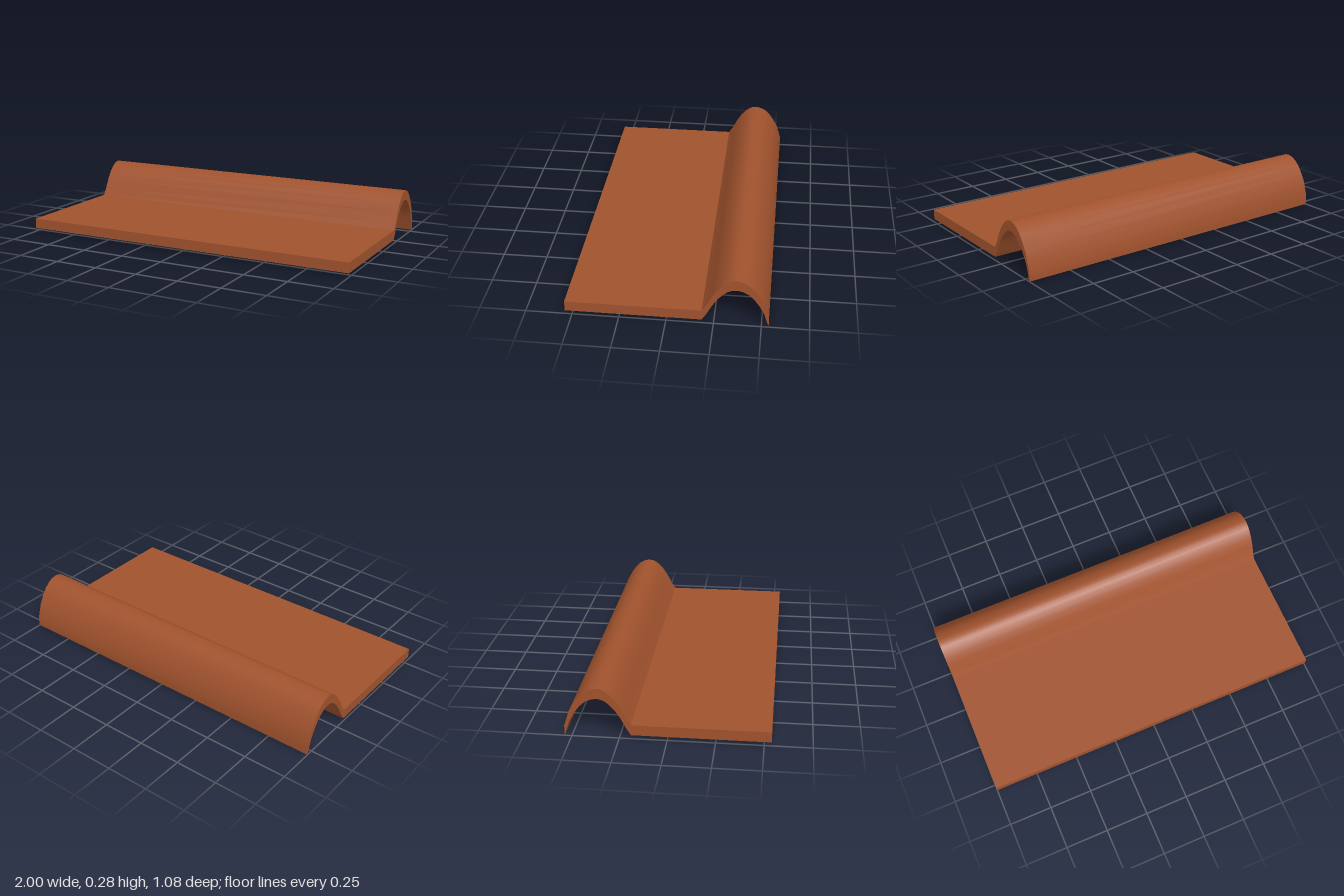
import * as THREE from 'three';
import { toCreasedNormals } from 'three/addons/utils/BufferGeometryUtils.js';

const LENGTH = 2;
const THICKNESS = 0.058;

// Upper edge of the cross-section, front to back: [z, y]
const UPPER_EDGE = [
  [0.538, 0.078], [-0.188, 0.078], [-0.213, 0.117], [-0.242, 0.174], [-0.27, 0.217],
  [-0.298, 0.248], [-0.322, 0.267], [-0.346, 0.277], [-0.371, 0.279], [-0.4, 0.272],
  [-0.428, 0.257], [-0.456, 0.231], [-0.484, 0.192], [-0.511, 0.143], [-0.538, 0.058],
];

export function createModel() {
  const group = new THREE.Group();
  group.name = 'roofTile';

  const terracotta = new THREE.MeshStandardMaterial({ color: 0xa0522d });
  terracotta.name = 'terracotta';

  // The lower edge is the upper edge dropped by the tile thickness
  const upper = UPPER_EDGE.map(([z, y]) => new THREE.Vector2(-z, y));
  const lower = upper.map((p) => new THREE.Vector2(p.x, p.y - THICKNESS)).reverse();
  const profile = new THREE.Shape([...upper, ...lower]);

  // Flat pan and arched roll, extruded along x as one piece
  const extruded = new THREE.ExtrudeGeometry(profile, { depth: LENGTH, bevelEnabled: false });
  extruded.translate(0, 0, -LENGTH / 2);
  extruded.rotateY(Math.PI / 2);

  const tile = new THREE.Mesh(toCreasedNormals(extruded, THREE.MathUtils.degToRad(35)), terracotta);
  tile.name = 'panAndRoll';
  group.add(tile);

  return group;
}
